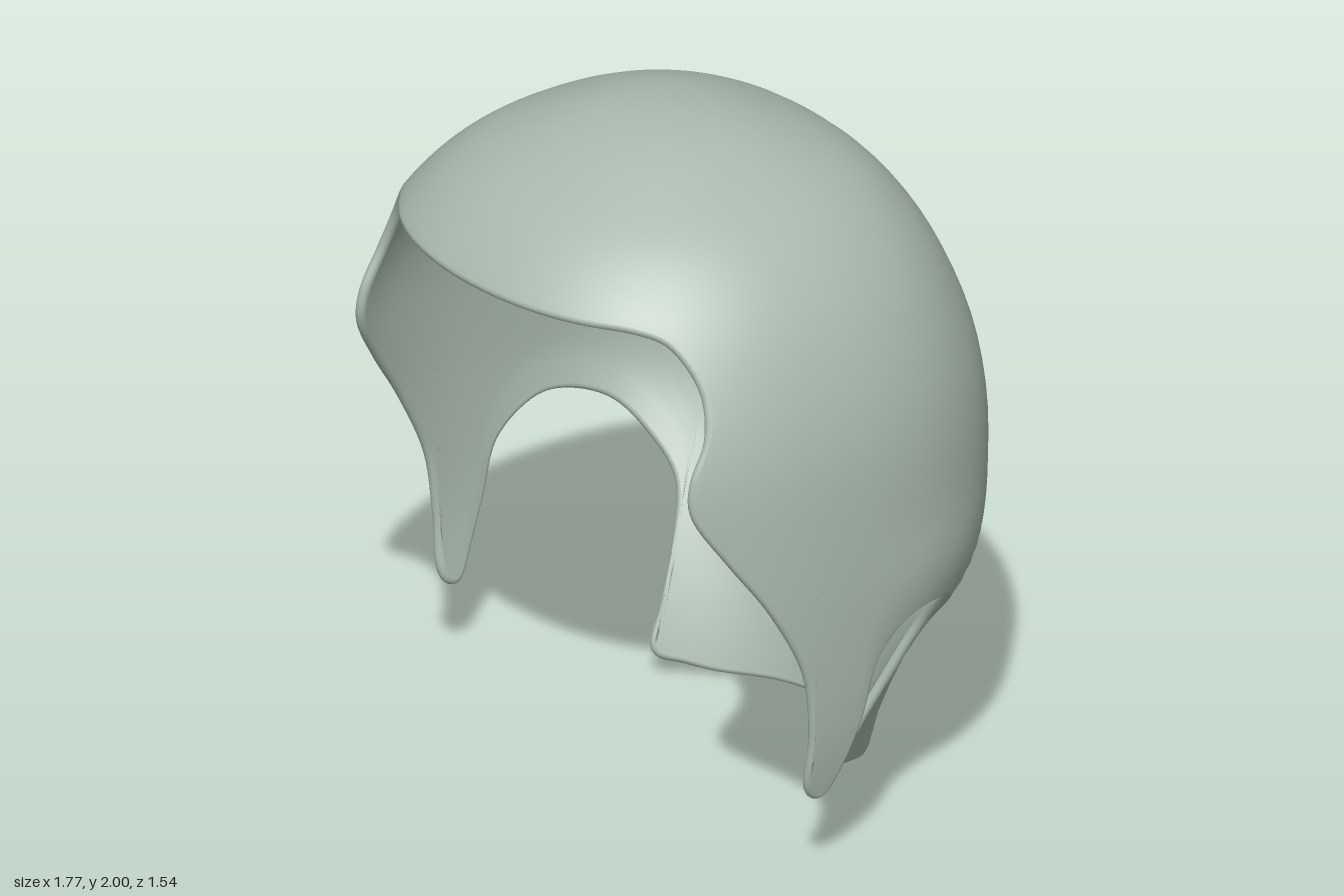
import * as THREE from 'three';

const RAD = Math.PI / 180, AXIS_Z = 0.08, HALF = 0.015; // HALF = half the shell thickness

// Profiles from crown to hem, in even steps of w, where y = 2 - 2w²
const WIDTH = [0, 0.185, 0.36, 0.55, 0.69, 0.79, 0.855, 0.88, 0.887, 0.87, 0.8];
const NECK_WIDTH = [0, 0.185, 0.36, 0.55, 0.69, 0.79, 0.855, 0.88, 0.88, 0.63, 0.45];
const FRONT = [0, 0.17, 0.35, 0.54, 0.69, 0.8, 0.89, 0.88, 0.86, 0.85, 0.85];
const BACK = [0, 0.17, 0.34, 0.52, 0.65, 0.75, 0.825, 0.85, 0.795, 0.68, 0.6];

// Hem of the left half: x, y, z and the crown angle its column starts from
const HEM = [
  // brow
  [0, 1.685, 0.77, 0], [0.2, 1.685, 0.74, 17], [0.4, 1.68, 0.67, 35], [0.55, 1.67, 0.585, 50],
  [0.65, 1.63, 0.52, 59], [0.72, 1.52, 0.47, 64], [0.745, 1.39, 0.475, 68],
  // cheek and its pointed guard
  [0.76, 1.27, 0.535, 71], [0.77, 1.17, 0.535, 73], [0.8, 1.03, 0.445, 75], [0.835, 0.86, 0.33, 77],
  [0.86, 0.65, 0.23, 79.5], [0.87, 0.45, 0.205, 81], [0.86, 0.3, 0.21, 82], [0.845, 0.25, 0.18, 83.5],
  [0.85, 0.28, 0.14, 85.5], [0.87, 0.45, 0.065, 89],
  // ear notch
  [0.88, 0.62, 0.01, 95], [0.875, 0.71, -0.09, 101], [0.86, 0.735, -0.2, 108], [0.8, 0.7, -0.33, 116],
  [0.7, 0.62, -0.39, 124], [0.57, 0.5, -0.41, 131.5], [0.51, 0.36, -0.36, 138],
  // neck guard
  [0.46, 0.19, -0.275, 143], [0.44, 0.085, -0.225, 147], [0.4, 0.05, -0.3, 151],
  [0.32, 0.022, -0.385, 157], [0.17, 0.018, -0.48, 168], [0, 0.018, -0.52, 180],
];

// Smooth interpolation of a table at a fractional index
function sample(table, f) {
  const last = table.length - 1;
  const i = Math.min(Math.max(Math.floor(f), 0), last - 1), t = f - i;
  const at = (k) => table[Math.min(Math.max(k, 0), last)];
  const [a, b, c, d] = [at(i - 1), at(i), at(i + 1), at(i + 2)];
  return b + 0.5 * t * (c - a + t * (2 * a - 5 * b + 4 * c - d + t * (3 * (b - c) + d - a)));
}
const HEM_COLUMNS = [0, 1, 2, 3].map((k) => HEM.map((p) => p[k]));

// Outer skin: a rounded oval at every height
function skin(phi, w) {
  const s = Math.sin(phi), c = Math.cos(phi);
  const neck = THREE.MathUtils.smoothstep(Math.acos(THREE.MathUtils.clamp(c, -1, 1)), 92 * RAD, 112 * RAD);
  const unit = (table) => sample(table, w * 10);
  const width = THREE.MathUtils.lerp(unit(WIDTH), unit(NECK_WIDTH), neck);
  const depth = unit(c > 0 ? FRONT : BACK);
  const n = 2.25;
  const r = w < 1e-6 ? 0 : (Math.abs(s / width) ** n + Math.abs(c / depth) ** n) ** (-1 / n);
  return new THREE.Vector3(r * s, 2 - 2 * w * w, AXIS_Z + r * c);
}

function skinNormal(phi, w) {
  if (w < 0.01) return new THREE.Vector3(0, 1, 0);
  const e = 0.004;
  const down = skin(phi, w + e).sub(skin(phi, w - e));
  const around = skin(phi + e, w).sub(skin(phi - e, w));
  return down.cross(around).normalize();
}

function shellGeometry() {
  const half = (HEM.length - 1) * 6, columns = half * 2, rows = 36, rimSteps = 6;

  // Columns run from the crown to the hem, the right half mirroring the left
  const grid = [];
  for (let i = 0; i < columns; i++) {
    const mirrored = i > half;
    const f = (mirrored ? columns - i : i) / 6;
    const [x, y, z, start] = HEM_COLUMNS.map((table) => sample(table, f));
    const endPhi = Math.atan2(Math.max(x, 0), z - AXIS_Z);
    const endW = Math.sqrt((2 - y) / 2);
    const column = [];
    for (let j = 0; j <= rows; j++) {
      const t = j / rows;
      let phi = THREE.MathUtils.lerp(start * RAD, endPhi, t ** 4);
      if (mirrored) phi = 2 * Math.PI - phi;
      column.push({ p: skin(phi, t * endW), n: skinNormal(phi, t * endW) });
    }
    grid.push(column);
  }

  // Each column: outer skin, rounded rim, inner skin
  const positions = [], index = [];
  const add = (v) => positions.push(v.x, v.y, v.z);
  for (let i = 0; i < columns; i++) {
    const column = grid[i], { p, n } = column[rows];
    const next = grid[(i + 1) % columns][rows].p, prev = grid[(i + columns - 1) % columns][rows].p;
    const out = next.clone().sub(prev).cross(n).normalize();
    column.forEach((q) => add(q.p));
    for (let k = 1; k < rimSteps; k++) {
      const a = (k / rimSteps) * Math.PI;
      add(p.clone().addScaledVector(n, HALF * (Math.cos(a) - 1)).addScaledVector(out, HALF * Math.sin(a)));
    }
    for (let j = rows; j >= 0; j--) add(column[j].p.clone().addScaledVector(column[j].n, -2 * HALF));
  }

  const stride = 2 * rows + rimSteps + 1;
  for (let i = 0; i < columns; i++) {
    for (let j = 0; j < stride - 1; j++) {
      const a = i * stride + j, c = ((i + 1) % columns) * stride + j;
      // The crown ends close to a point, so they take one triangle
      if (j < stride - 2) index.push(a, a + 1, c + 1);
      if (j > 0) index.push(a, c + 1, c);
      if (j === stride - 2) continue;
    }
  }
  const geometry = new THREE.BufferGeometry();
  geometry.setAttribute('position', new THREE.Float32BufferAttribute(positions, 3));
  geometry.setIndex(index);
  geometry.computeVertexNormals();
  return geometry;
}

export function createModel() {
  const group = new THREE.Group();
  group.name = 'helmet';
  const material = new THREE.MeshStandardMaterial({ color: 0xa9b9ad, side: THREE.DoubleSide });
  const shell = new THREE.Mesh(shellGeometry(), material);
  shell.name = 'helmetShell';
  group.add(shell);
  return group;
}
